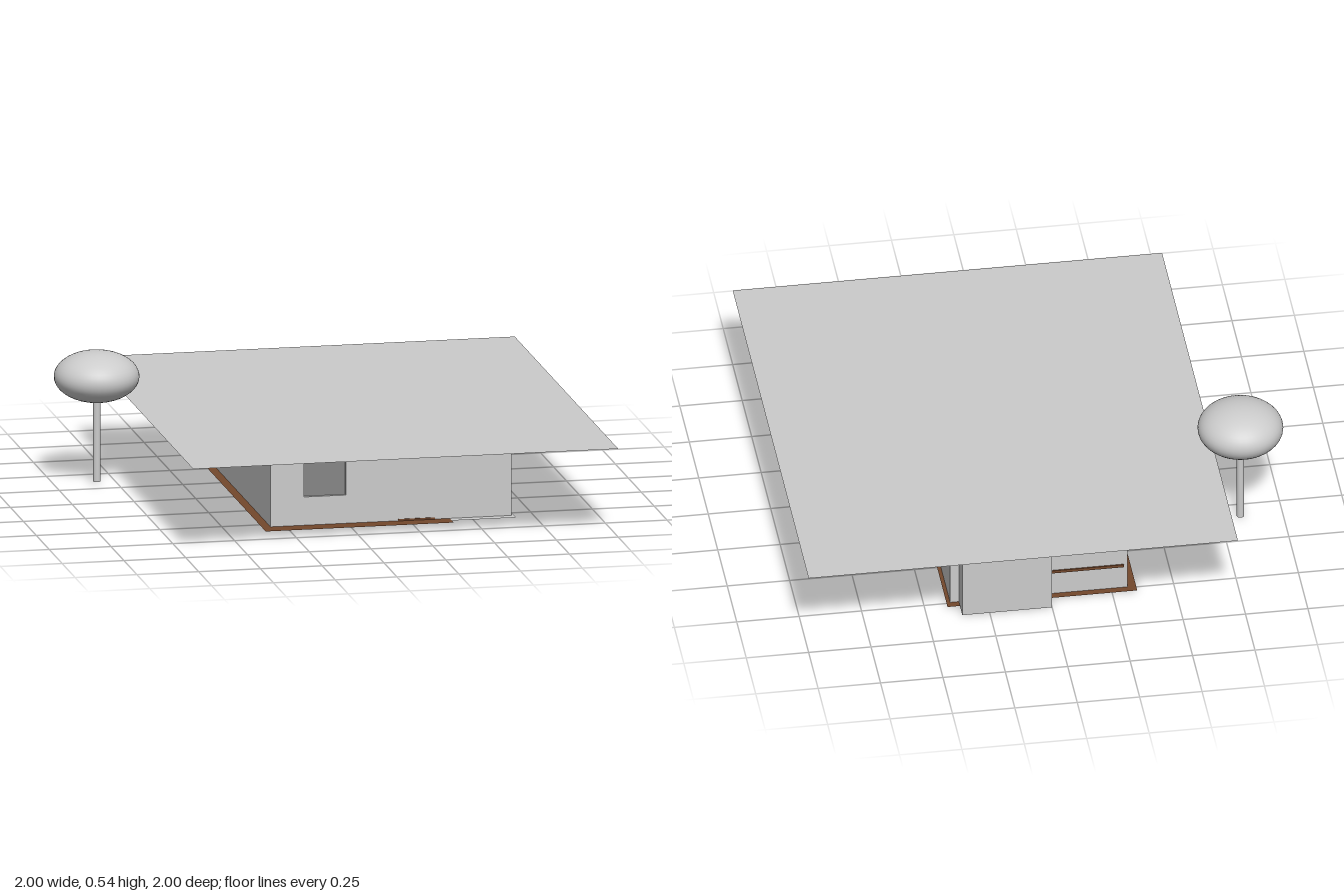
import * as THREE from 'three';

const grey = new THREE.MeshStandardMaterial({ color: 0xcccccc, side: THREE.DoubleSide });
const brown = new THREE.MeshStandardMaterial({ color: 0x74482c, side: THREE.DoubleSide });
const dark = new THREE.MeshStandardMaterial({ color: 0x858585, side: THREE.DoubleSide });

const WALL_TOP = 0.358;
const THICK = 0.03;

export function createModel() {
  const model = new THREE.Group();

  const add = (name, geometry, material = grey, parent = model) => {
    const mesh = new THREE.Mesh(geometry, material);
    mesh.name = name;
    parent.add(mesh);
    return mesh;
  };

  // Box given by its limits on each axis
  const block = (name, [x0, x1], [y0, y1], [z0, z1], material, parent) =>
    add(name, new THREE.BoxGeometry(x1 - x0, y1 - y0, z1 - z0), material, parent)
      .position.set((x0 + x1) / 2, (y0 + y1) / 2, (z0 + z1) / 2);

  // Horizontal sheet
  const sheet = (name, [x0, x1], y, [z0, z1], material) =>
    add(name, new THREE.PlaneGeometry(x1 - x0, z1 - z0).rotateX(-Math.PI / 2), material)
      .position.set((x0 + x1) / 2, y, (z0 + z1) / 2);

  // Flat roof and floors
  sheet('roof', [-0.72, 1], 0.36, [-1, 1]);
  sheet('mainFloor', [-0.35, 0.41], 0.005, [-0.78, 0.635], brown);
  sheet('annexFloor', [0.41, 0.67], 0.005, [-0.04, 0.6]);
  sheet('bayFloor', [0, 0.36], 0.004, [-0.84, -0.75]);

  // Straight wall segments; x and z are the outer limits
  const walls = new THREE.Group();
  walls.name = 'walls';
  model.add(walls);
  const wall = (name, x, z, y = [0.002, WALL_TOP]) => block(name, x, y, z, grey, walls);
  const T = THICK;
  const front = [0.56 - T, 0.56];
  wall('leftSideWall', [-0.315, -0.315 + T], [-0.75, 0.56]);
  wall('backWall', [-0.315, 0], [-0.75, -0.75 + T]);
  wall('bayNearWall', [0, T], [-0.84, -0.75 + T]);
  wall('bayBackWall', [0, 0.36], [-0.84, -0.84 + T]);
  wall('bayFarWall', [0.36 - T, 0.36], [-0.84, -0.75 + T]);
  wall('backCornerWall', [0.36 - T, 0.395], [-0.75, -0.75 + T]);
  wall('rightSideWall', [0.395 - T, 0.395], [-0.75, 0.53]);
  wall('annexBackWall', [0.395, 0.66], [-0.04, -0.04 + T]);
  wall('annexSideWall', [0.66 - T, 0.66], [-0.04, 0.56]);
  wall('roomBackWall', [0.2, 0.395], [0.27, 0.285]);
  wall('roomSideWall', [0.2, 0.215], [0.27, 0.53]);

  // Front wall around the window
  wall('frontWallLeft', [-0.315, -0.18], front);
  wall('frontWallRight', [-0.01, 0.66], front);
  wall('frontWallBelowWindow', [-0.18, -0.01], front, [0.002, 0.12]);
  wall('frontWallAboveWindow', [-0.18, -0.01], front, [0.29, WALL_TOP]);
  block('windowPane', [-0.18, -0.01], [0.12, 0.29], [0.543, 0.547], dark);

  // Door trim on the front and sill on the back
  block('doorHeader', [0.2, 0.35], [0.305, 0.317], [0.555, 0.564], brown);
  block('doorThreshold', [0.2, 0.35], [0.004, 0.012], [0.555, 0.564], brown);
  block('backWindowSill', [-0.3, -0.01], [0.105, 0.117], [-0.755, -0.745], brown);

  // Low strips under the floor
  sheet('underfloorStrip', [0.07, 0.17], 0.001, [0.1, 0.56]);
  sheet('underfloorPad', [-0.21, -0.17], 0.001, [0.35, 0.39]);
  for (const z of [0, 0.14]) sheet('annexPad', [0.575, 0.63], 0.001, [z - 0.025, z + 0.025], brown);

  // Tree beside the house
  const tree = new THREE.Group();
  tree.name = 'tree';
  tree.position.set(-0.83, 0, -0.34);
  model.add(tree);
  add('trunk', new THREE.CylinderGeometry(0.015, 0.015, 0.36, 16), grey, tree).position.y = 0.19;
  const crown = add('crown', new THREE.SphereGeometry(0.17, 40, 24), grey, tree);
  crown.scale.y = 0.6;
  crown.position.y = 0.437;

  return model;
}
